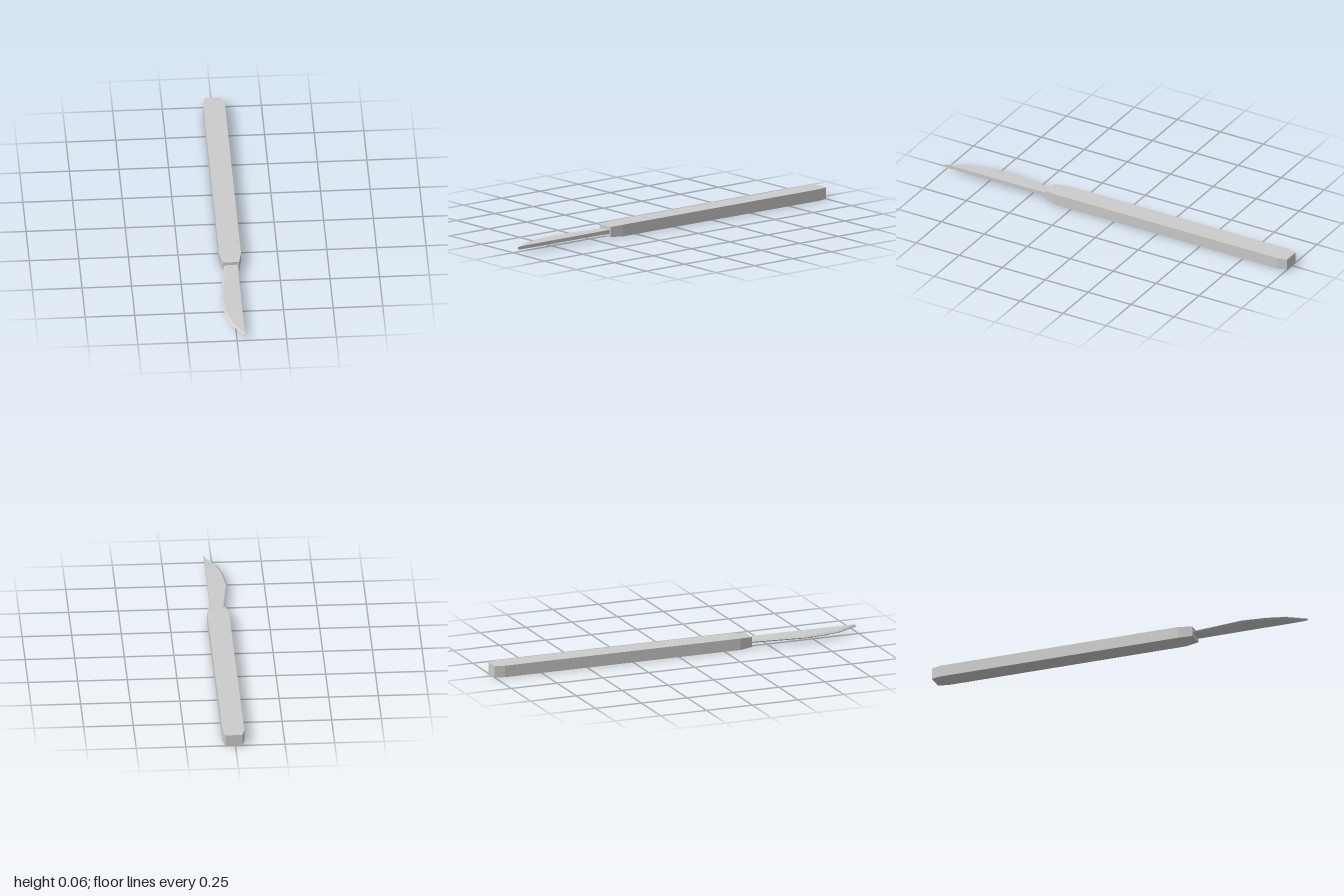
import * as THREE from 'three';

// Skin matching cross-sections [z, [[x, y], ...]], counter-clockwise seen from +z, back to front
function loft(name, sections) {
  const pos = [];
  const n = sections[0][1].length;
  const put = (s, j) => pos.push(...sections[s][1][j % n], sections[s][0]);
  for (let s = 0; s < sections.length - 1; s++) {
    for (let j = 0; j < n; j++) {
      put(s, j); put(s, j + 1); put(s + 1, j + 1);
      put(s, j); put(s + 1, j + 1); put(s + 1, j);
    }
  }
  const last = sections.length - 1;
  for (let j = 1; j < n - 1; j++) {
    put(0, 0); put(0, j + 1); put(0, j);
    put(last, 0); put(last, j); put(last, j + 1);
  }
  const geometry = new THREE.BufferGeometry();
  geometry.setAttribute('position', new THREE.Float32BufferAttribute(pos, 3));
  geometry.computeVertexNormals();
  const mesh = new THREE.Mesh(geometry, new THREE.MeshStandardMaterial({ color: 0xcccccc, flatShading: true }));
  mesh.name = name;
  return mesh;
}

const rect = (x0, x1, y0, y1) => [[x0, y0], [x1, y0], [x1, y1], [x0, y1]];

// Blade section: thick spine on +x, slightly thinner body, bevelled cutting edge on -x
function bladeSection(edge, spine, bevel, half) {
  const y = 0.03;
  return [
    [edge, y],
    [edge + bevel, y - half * 0.8],
    [spine, y - half],
    [spine, y + half],
    [edge + bevel, y + half * 0.8],
  ];
}

export function createModel() {
  const model = new THREE.Group();
  model.name = 'scalpel';

  // Rectangular handle with tapered ends
  model.add(loft('handle', [
    [-1, rect(-0.035, 0.049, 0.001, 0.059)],
    [-0.95, rect(-0.048, 0.062, 0, 0.06)],
    [0.335, rect(-0.048, 0.062, 0, 0.06)],
    [0.405, rect(-0.033, 0.048, 0.004, 0.056)],
  ]));

  // Curved blade: z, edge x, bevel width, half thickness
  const stations = [
    [0.4, -0.03, 0.01, 0.01],
    [0.68, -0.063, 0.011, 0.009],
    [0.8, -0.05, 0.011, 0.009],
    [0.9, -0.025, 0.011, 0.009],
    [0.98, 0.026, 0.008, 0.008],
    [1, 0.038, 0.001, 0.006],
  ];
  model.add(loft('blade', stations.map(([z, edge, bevel, half]) => [z, bladeSection(edge, 0.04, bevel, half)])));

  return model;
}
